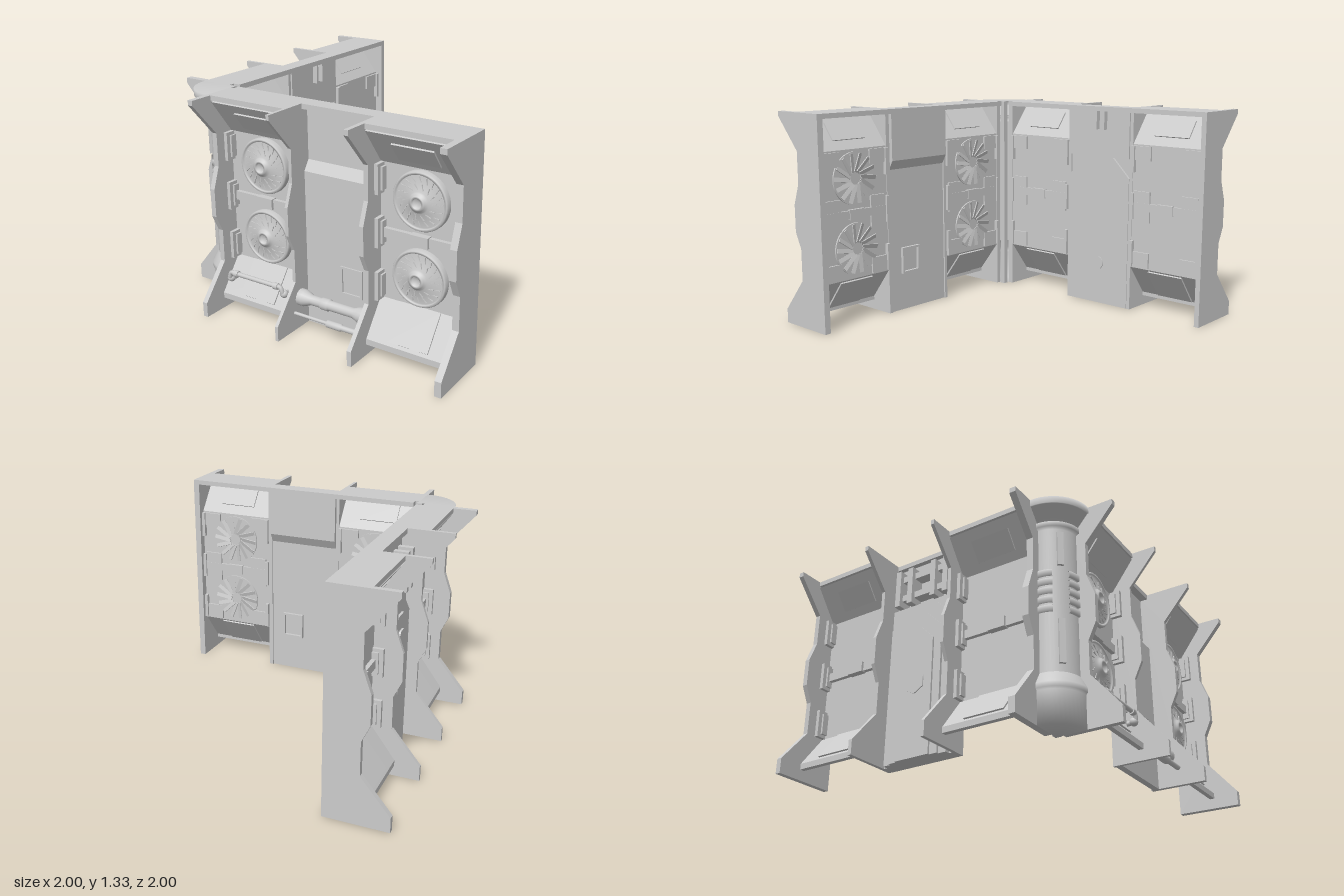
import * as THREE from 'three';

const grey = new THREE.MeshStandardMaterial({ color: 0xcccccc, side: THREE.DoubleSide });

function add(parent, name, geo, x = 0, y = 0, z = 0) {
  const m = new THREE.Mesh(geo, grey);
  m.name = name;
  m.position.set(x, y, z);
  parent.add(m);
  return m;
}

// box given by its limits
function box(parent, name, x0, x1, y0, y1, z0, z1) {
  return add(parent, name, new THREE.BoxGeometry(x1 - x0, y1 - y0, z1 - z0),
    (x0 + x1) / 2, (y0 + y1) / 2, (z0 + z1) / 2);
}

// outline of [z, y] points, extruded from x0 to x1
function slab(parent, name, points, x0, x1) {
  const shape = new THREE.Shape(points.map(p => new THREE.Vector2(p[0], p[1])));
  const geo = new THREE.ExtrudeGeometry(shape, { depth: x1 - x0, bevelEnabled: false });
  geo.rotateY(-Math.PI / 2);
  return add(parent, name, geo, x1, 0, 0);
}

// turned rod lying along x, profile of [radius, x] points
function rod(parent, name, profile, y, z) {
  const geo = new THREE.LatheGeometry(profile.map(p => new THREE.Vector2(p[0], p[1])), 16);
  geo.rotateZ(-Math.PI / 2);
  return add(parent, name, geo, 0, y, z);
}

// wavy outer edge of a rib, closed by a straight inner edge
const RIB_EDGE = [[1, 0], [1, 0.09], [0.825, 0.3], [0.825, 0.5], [0.872, 0.6], [0.872, 0.77],
  [0.825, 0.9], [0.825, 1.1], [1, 1.3], [1, 1.33]];
const rib = (parent, x0, x1, inner) =>
  slab(parent, 'rib', [[inner, 0], ...RIB_EDGE, [inner, 1.33]], x0, x1);

// bent skin of a bay: outer line up, inner line down
const SKIN = [[0.85, 0.065], [0.85, 0.1], [0.7, 0.3], [0.7, 1.09], [0.85, 1.29], [0.82, 1.3],
  [0.665, 1.1], [0.665, 0.29], [0.82, 0.09], [0.82, 0.065]];

// round fan seen on both faces of the skin
function fan(parent, x, y) {
  const g = new THREE.Group();
  g.name = 'fan';
  g.position.set(x, y, 0.7);
  const profile = [[0, 0.05], [0.026, 0.05], [0.028, 0.066], [0.04, 0.066], [0.044, 0.054], [0.054, 0.054],
    [0.06, 0.042], [0.145, 0.022], [0.148, 0.036], [0.16, 0.036], [0.166, 0.026], [0.166, 0]];
  const dish = new THREE.LatheGeometry(profile.map(p => new THREE.Vector2(p[0], p[1])), 40);
  dish.rotateX(Math.PI / 2);
  add(g, 'fanDish', dish);
  // short slats in two rings on the dish
  for (const [r, z, n] of [[0.085, 0.036, 14], [0.122, 0.028, 20]]) for (let i = 0; i < n; i++) {
    const a = i / n * Math.PI * 2;
    const slat = add(g, 'fanSlat', new THREE.BoxGeometry(0.034, 0.004, 0.008), Math.cos(a) * r, Math.sin(a) * r, z);
    slat.rotation.z = a + 0.45;
  }
  const back = new THREE.CylinderGeometry(0.165, 0.165, 0.02, 40);
  back.rotateX(Math.PI / 2);
  add(g, 'fanBackDisc', back, 0, 0, -0.035);
  for (let i = 0; i < 14; i++) {
    const a = i / 14 * Math.PI * 2;
    const blade = add(g, 'fanBackBlade', new THREE.BoxGeometry(0.12, 0.026, 0.006),
      Math.cos(a) * 0.098, Math.sin(a) * 0.098, -0.048);
    blade.rotation.order = 'ZXY';
    blade.rotation.z = a + 0.15;
    blade.rotation.x = 0.3;
  }
  parent.add(g);
}

// plate lying on a sloped skin panel
function slopePlate(parent, x, y, z, h, tilt) {
  const p = add(parent, 'slopePlate', new THREE.BoxGeometry(0.25, h, 0.05), x, y, z);
  p.rotation.x = tilt;
}

function bay(parent, x0, x1, withFans) {
  const g = new THREE.Group();
  g.name = 'bay';
  const c = (x0 + x1) / 2;
  slab(g, 'bentSkin', SKIN, x0, x1);
  box(g, 'bayCap', x0, x1, 1.3, 1.33, 0.615, 0.855);
  const tilt = Math.atan2(0.153, 0.2);
  slopePlate(g, c, 0.198, 0.755, 0.23, -tilt);
  slopePlate(g, c, 1.195, 0.759, 0.13, tilt);
  // clamps on the ribs with tiles beside them on the inner face
  for (const y of [0.385, 0.7, 1.005]) {
    for (const s of [-1, 1]) {
      const e = c + s * (x1 - x0) / 2;
      const lim = (d0, d1) => s > 0 ? [e - d1, e - d0] : [e + d0, e + d1];
      box(g, 'ribClamp', ...lim(0, 0.022), y - 0.085, y + 0.085, 0.64, 0.765);
      box(g, 'clampBar', ...lim(0.022, 0.034), y - 0.065, y + 0.065, 0.7, 0.74);
      const t = y < 0.5 ? [0.3, 0.4] : y < 0.9 ? [0.6, 0.8] : [1.0, 1.09];
      box(g, 'innerTile', ...lim(0.022, 0.14), t[0], t[1], 0.652, 0.67);
    }
  }
  // cross bar on both faces
  box(g, 'crossBar', x0, x1, 0.672, 0.725, 0.65, 0.725);
  box(g, 'crossBarBlock', c - 0.055, c + 0.055, 0.667, 0.73, 0.645, 0.74);
  if (withFans) for (const y of [0.48, 0.92]) fan(g, c, y);
  parent.add(g);
}

// wall of four ribs: bay, middle section, bay; local front is +z
// each rib is [from x, to x, inner z]
function wall(name, ribs, withFans) {
  const g = new THREE.Group();
  g.name = name;
  for (const r of ribs) rib(g, ...r);
  bay(g, ribs[0][1], ribs[1][0], withFans);
  bay(g, ribs[2][1], ribs[3][0], withFans);
  box(g, 'middleCap', ribs[1][0], ribs[2][1], 1.3, 1.33, 0.615, 0.72);
  return g;
}

function octagonDoor(x0, x1, y0, y1, cut, depth) {
  const s = new THREE.Shape();
  s.moveTo(x0, y0);
  s.lineTo(x1, y0);
  s.lineTo(x1, y1 - cut);
  s.lineTo(x1 - cut, y1);
  s.lineTo(x0 + cut, y1);
  s.lineTo(x0, y1 - cut);
  return new THREE.ExtrudeGeometry(s, { depth, bevelEnabled: false });
}

function frontWall() {
  const g = wall('frontWall', [[-0.62, -0.588, 0.66], [-0.072, -0.052, 0.66], [0.42, 0.447, 0.66],
    [0.96, 1, 0.615]], true);
  slab(g, 'middlePanel', [[0.67, 0], [0.71, 0], [0.71, 0.94], [0.67, 1.0], [0.67, 1.31],
    [0.635, 1.31], [0.635, 1.0], [0.67, 0.94]], -0.052, 0.42);
  // hatch frame, standing out on both faces
  for (const s of [-1, 1]) {
    box(g, 'hatchSide', 0.26 + s * 0.067 - 0.007, 0.26 + s * 0.067 + 0.007, 0.245, 0.42, 0.65, 0.72);
    box(g, 'hatchEdge', 0.19, 0.33, 0.333 + s * 0.08 - 0.007, 0.333 + s * 0.08 + 0.007, 0.65, 0.72);
  }
  // floor level pipes between the middle ribs
  rod(g, 'thickPipe', [[0.05, -0.052], [0.05, -0.02], [0.03, 0.03], [0.03, 0.1], [0.036, 0.105],
    [0.036, 0.15], [0.03, 0.155], [0.03, 0.32], [0.046, 0.36], [0.046, 0.42]], 0.19, 0.78);
  rod(g, 'thinPipe', [[0.01, -0.052], [0.01, 0.17], [0.022, 0.18], [0.022, 0.27], [0.016, 0.28],
    [0.016, 0.42]], 0.11, 0.84);
  // hand rail across the first bay
  const path = new THREE.CatmullRomCurve3([[-0.53, 0.2, 0.79], [-0.535, 0.21, 0.84], [-0.52, 0.25, 0.845],
    [-0.46, 0.25, 0.845], [-0.2, 0.25, 0.845], [-0.15, 0.25, 0.845], [-0.135, 0.21, 0.84],
    [-0.14, 0.2, 0.79]].map(p => new THREE.Vector3(...p)), false, 'catmullrom', 0.3);
  add(g, 'handRail', new THREE.TubeGeometry(path, 48, 0.014, 10));
  for (const x of [-0.535, -0.135]) add(g, 'railJoint', new THREE.SphereGeometry(0.025, 14, 10), x, 0.207, 0.83);
  for (const x of [-0.48, -0.18]) add(g, 'railCollar',
    new THREE.CylinderGeometry(0.02, 0.02, 0.03, 14).rotateZ(Math.PI / 2), x, 0.25, 0.845);
  return g;
}

function sideWall() {
  const g = wall('sideWall', [[-1, -0.968, 0.615], [-0.455, -0.432, 0.66], [0.04, 0.062, 0.66],
    [0.575, 0.615, 0.66]], false);
  slab(g, 'middlePanel', [[0.67, 0], [0.73, 0], [0.73, 1], [0.69, 1], [0.69, 1.31],
    [0.65, 1.31], [0.65, 1.0], [0.67, 1.0]], -0.432, 0.04);
  // nested door plates on the outer face, one plate and a disc inside
  add(g, 'doorFrame', octagonDoor(-0.41, 0.02, 0, 0.97, 0.12, 0.03), 0, 0, 0.73);
  add(g, 'doorPlate', octagonDoor(-0.36, -0.03, 0, 0.89, 0.11, 0.015), 0, 0, 0.76);
  add(g, 'doorLeaf', octagonDoor(-0.31, -0.08, 0, 0.8, 0.09, 0.012), 0, 0, 0.775);
  add(g, 'doorDisc', new THREE.CylinderGeometry(0.07, 0.07, 0.01, 6).rotateX(Math.PI / 2), -0.195, 0.45, 0.788);
  add(g, 'innerDoorPlate', octagonDoor(-0.432, 0.04, 0.002, 1, 0.13, 0.02), 0, 0, 0.655);
  add(g, 'innerDoorDisc', new THREE.CylinderGeometry(0.045, 0.045, 0.01, 20).rotateX(Math.PI / 2), -0.195, 0.28, 0.654);
  // bars above the door and a small clip inside
  for (const x of [-0.37, -0.28, -0.11, -0.02]) box(g, 'overDoorBar', x - 0.018, x + 0.018, 1.0, 1.24, 0.68, 0.78);
  for (const y of [1.06, 1.19]) box(g, 'overDoorRail', -0.4, 0.01, y - 0.02, y + 0.02, 0.68, 0.755);
  for (const x of [-0.25, -0.19]) box(g, 'clip', x - 0.006, x + 0.006, 1.18, 1.31, 0.617, 0.66);
  return g;
}

function corner() {
  const g = new THREE.Group();
  g.name = 'corner';
  g.position.set(-0.615, 0, 0.615);
  const start = Math.PI * 1.5, quarter = Math.PI / 2;
  const turn = (name, pts, from = 0, arc = quarter) => add(g, name,
    new THREE.LatheGeometry(pts.map(p => new THREE.Vector2(p[0], p[1])), 12, start + from, arc));
  turn('columnBase', [[0, 0], [0.185, 0], [0.185, 0.19], [0.195, 0.2], [0.195, 0.23], [0.155, 0.3]]);
  turn('columnShaft', [[0.155, 0.29], [0.155, 1.17], [0.175, 1.18], [0.175, 1.21], [0.16, 1.22]]);
  turn('columnFlare', [[0.16, 1.21], [0.23, 1.29], [0.238, 1.29], [0.238, 1.33], [0, 1.33]]);
  // short bands at both edges of the shaft
  for (let i = 0; i < 5; i++) {
    const y = 0.65 + i * 0.055;
    const band = [[0.15, y], [0.168, y], [0.168, y + 0.035], [0.15, y + 0.035]];
    turn('columnBand', band, 0, 0.5);
    turn('columnBand', band, quarter - 0.5, 0.5);
  }
  // upright bars on the middle of the shaft
  for (const [y, h] of [[0.475, 0.26], [1.04, 0.21]]) {
    const bar = add(g, 'columnBar', new THREE.BoxGeometry(0.035, h, 0.024), -0.112, y, 0.112);
    bar.rotation.y = -Math.PI / 4;
  }
  box(g, 'innerPost', -0.03, 0.006, 0, 1.33, -0.006, 0.03);
  return g;
}

export function createModel() {
  const model = new THREE.Group();
  model.name = 'cornerWall';
  const side = sideWall();
  side.rotation.y = -Math.PI / 2;
  model.add(frontWall(), side, corner());
  return model;
}
